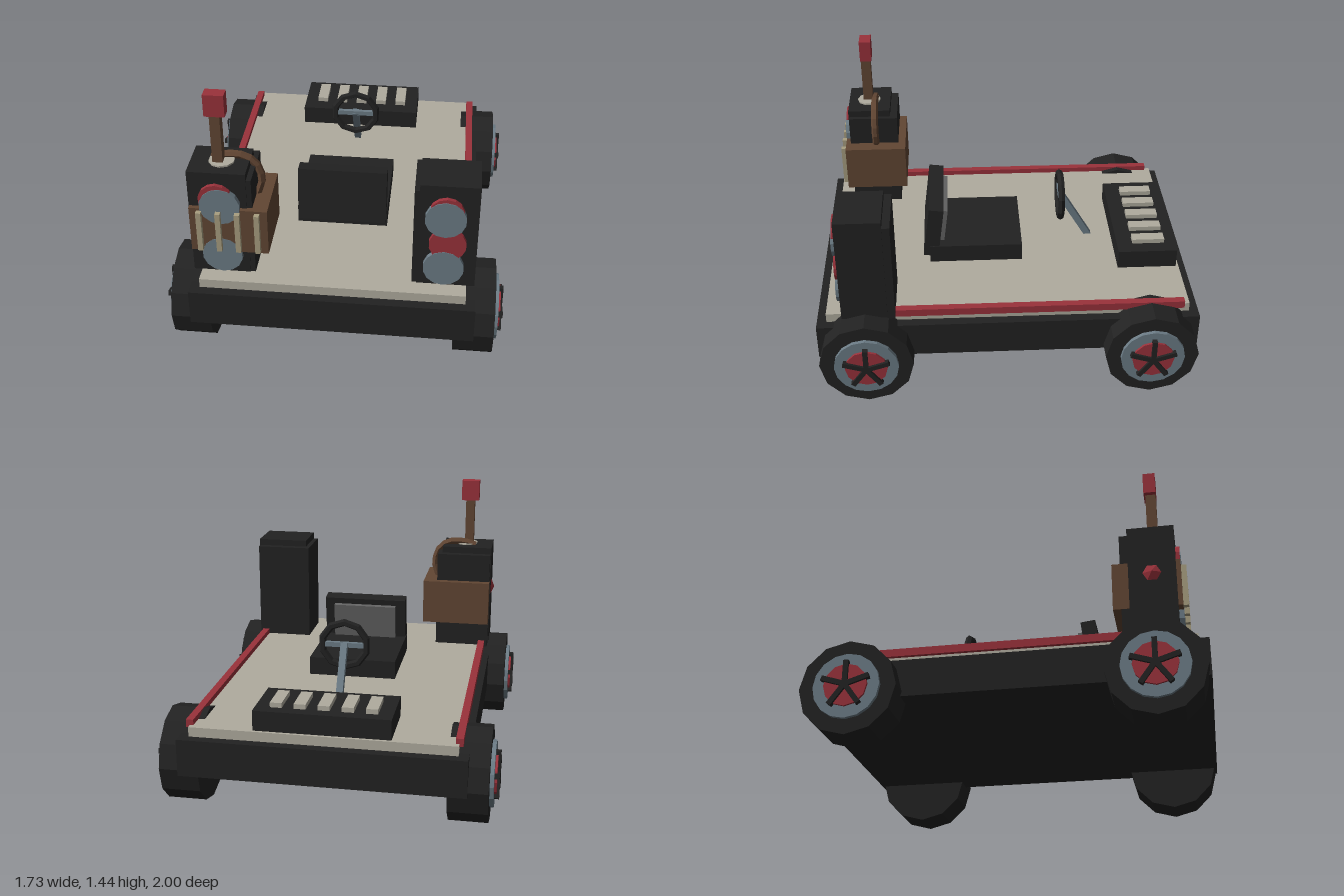
import * as THREE from 'three';

const mat = (name, color) => {
  const m = new THREE.MeshStandardMaterial({ color, flatShading: true });
  m.name = name;
  return m;
};

export function createModel() {
  const black = mat('black', 0x222222), cream = mat('cream', 0xb0ac9f), red = mat('red', 0x9a323b);
  const steel = mat('steel blue', 0x6c7c86), brown = mat('brown', 0x624633);
  const tan = mat('tan', 0xa89e80), grey = mat('grey', 0x646464);
  const model = new THREE.Group();
  model.name = 'cart';

  const add = (name, geo, m, x = 0, y = 0, z = 0, parent = model) => {
    const mesh = new THREE.Mesh(geo, m);
    mesh.name = name;
    mesh.position.set(x, y, z);
    parent.add(mesh);
    return mesh;
  };
  // box given by its limits on each axis
  const box = (name, m, [x0, x1], [y0, y1], [z0, z1], parent = model) =>
    add(name, new THREE.BoxGeometry(x1 - x0, y1 - y0, z1 - z0), m,
      (x0 + x1) / 2, (y0 + y1) / 2, (z0 + z1) / 2, parent);
  const span = (s, a, b) => (s > 0 ? [a, b] : [-b, -a]);

  // chassis and deck
  box('chassis', black, [-0.72, 0.72], [0.225, 0.42], [-1, 1]);
  box('deck', cream, [-0.67, 0.67], [0.42, 0.47], [-0.95, 0.95]);

  // wheels: axis along x, with a vertex at the top
  const disc = (r, w, n) => new THREE.CylinderGeometry(r, r, w, n).rotateZ(-Math.PI / 2);
  for (const s of [-1, 1]) for (const z of [-0.745, 0.745]) {
    const wheel = new THREE.Group();
    wheel.name = 'wheel';
    wheel.position.set(s * 0.72, 0.25, z);
    wheel.rotation.y = s > 0 ? 0 : Math.PI;
    model.add(wheel);
    add('tyre', disc(0.245, 0.2, 12).rotateX(Math.PI / 2), black, 0, 0, 0, wheel);
    add('rim', disc(0.168, 0.04, 16), steel, 0.1, 0, 0, wheel);
    add('hub', disc(0.11, 0.04, 12), red, 0.112, 0, 0, wheel);
    for (let i = 0; i < 5; i++) {
      const spoke = new THREE.BoxGeometry(0.03, 0.125, 0.026).translate(0, 0.0625, 0);
      add('spoke', spoke.rotateX(i * Math.PI * 0.4), black, 0.13, 0, 0, wheel);
    }
  }

  // side rails and front towers
  for (const s of [-1, 1]) {
    box('rail', red, span(s, 0.652, 0.69), [0.457, 0.498], [-0.92, 0.6]);
    box('tower', black, span(s, 0.395, 0.705), [0.46, 1.025], [0.588, 0.86]);
    box('towerCap', black, span(s, 0.42, 0.71), [0.47, 1.062], [0.628, 0.865]);
  }

  // round lamps
  const lamp = (m, r, x, y, front) =>
    add('lamp', new THREE.CylinderGeometry(r, r, 0.04, 14).rotateX(Math.PI / 2), m, x, y, front - 0.02);
  for (const x of [-0.553, 0.55]) {
    lamp(steel, 0.102, x, 0.88, 0.89);
    lamp(steel, 0.102, x, 0.588, 0.89);
  }
  lamp(red, 0.093, 0.565, 0.73, 0.887);
  lamp(red, 0.088, -0.57, 0.915, 0.886);
  lamp(red, 0.088, 0.553, 0.912, 0.886);

  // wooden crate wrapped round the right tower
  box('crate', brown, [-0.707, -0.318], [0.612, 0.865], [0.546, 0.888]);
  for (const x of [-0.656, -0.561, -0.465, -0.368])
    box('crateSlat', tan, [x - 0.013, x + 0.013], [0.627, 0.853], [0.88, 0.915]);
  add('sideButton', new THREE.ConeGeometry(0.06, 0.025, 6).rotateZ(Math.PI / 2), red, -0.717, 0.8, 0.745);

  // mast with its beacon and hose
  add('mastBase', new THREE.CylinderGeometry(0.065, 0.065, 0.01, 10), cream, -0.555, 1.066, 0.75);
  box('mast', brown, [-0.595, -0.544], [1.06, 1.34], [0.728, 0.782]);
  box('beacon', red, [-0.62, -0.518], [1.328, 1.445], [0.72, 0.783]);
  const hosePath = new THREE.CatmullRomCurve3([
    [-0.61, 1.06], [-0.54, 1.08], [-0.45, 1.075], [-0.39, 1.03], [-0.367, 0.94], [-0.4, 0.84]
  ].map(([x, y]) => new THREE.Vector3(x, y, 0.715)));
  add('hose', new THREE.TubeGeometry(hosePath, 9, 0.02, 6), brown);

  // seat, facing the rear console
  box('seatBase', black, [-0.24, 0.24], [0.465, 0.57], [-0.095, 0.41]);
  const back = new THREE.Group();
  back.name = 'seatBack';
  back.position.set(0, 0.655, 0.387);
  back.rotation.x = -0.125;
  model.add(back);
  box('backrest', black, [-0.235, 0.235], [-0.148, 0.148], [-0.04, 0.04], back);
  box('backPad', grey, [-0.18, 0.18], [-0.09, 0.115], [-0.066, -0.035], back);

  // console with its keys
  box('console', black, [-0.345, 0.345], [0.465, 0.575], [-0.935, -0.615]);
  for (let i = -2; i <= 2; i++)
    box('consoleKey', cream, [i * 0.12 - 0.03, i * 0.12 + 0.03], [0.57, 0.6], [-0.875, -0.7]);

  // steering wheel on its slanted column
  const ring = new THREE.TorusGeometry(0.122, 0.02, 6, 10).rotateZ(Math.PI / 10);
  add('steeringWheel', ring, black, 0, 0.733, -0.32);
  box('steeringBar', steel, [-0.115, 0.115], [0.72, 0.746], [-0.333, -0.311]);
  const column = add('steeringColumn', new THREE.BoxGeometry(0.036, 0.32, 0.036), steel, 0, 0.6, -0.406);
  column.rotation.x = Math.atan2(0.16, 0.27);

  return model;
}
